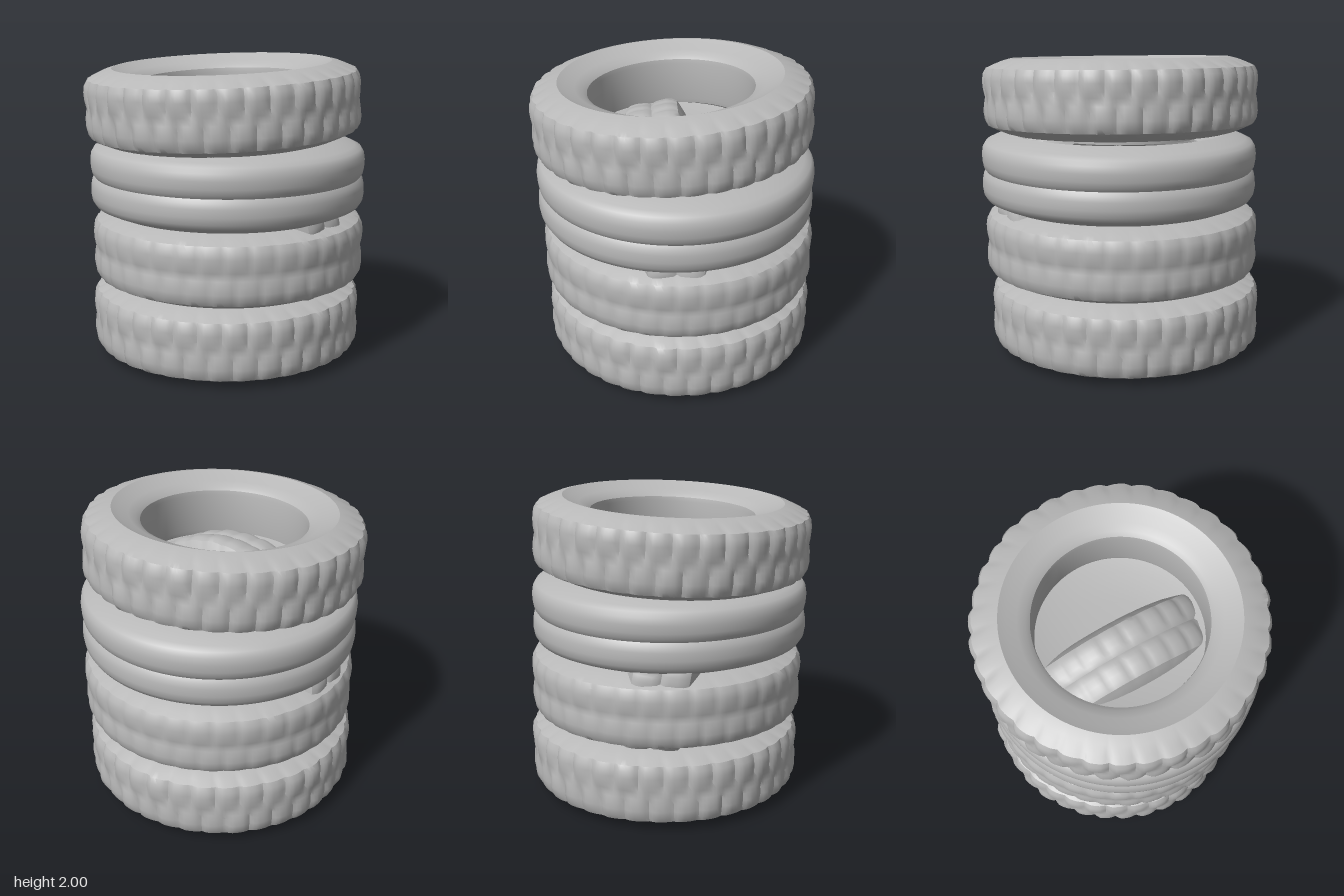
import * as THREE from 'three';
import { toCreasedNormals } from 'three/addons/utils/BufferGeometryUtils.js';

const BLOCKS = 36;                 // tread blocks around one row
const STEP = 7;                    // lathe segments per block
const SEGMENTS = BLOCKS * STEP;
// dip across one block: steep leading edge, soft trailing edge
const BLOCK_DIP = [0.85, 0.35, 0, 0, 0.08, 0.2, 0.5];

// upper half of the tyre section, from tread groove over the sidewall to the bore
const HALF = [
  [0.915, 0.025], [0.922, 0.06], [0.925, 0.11], [0.918, 0.155], [0.898, 0.188],
  [0.855, 0.208], [0.79, 0.234], [0.73, 0.25], [0.68, 0.226], [0.62, 0.204],
  [0.57, 0.182], [0.545, 0.16], [0.54, 0.13],
];

function tyreProfile(groove) {
  const lower = HALF.map(([r, y]) => new THREE.Vector2(r, -y)).reverse();
  const upper = HALF.map(([r, y]) => new THREE.Vector2(r, y));
  const points = [...lower, new THREE.Vector2(groove, 0), ...upper];
  points.push(points[0].clone()); // close along the bore
  return points;
}

function seeded(seed) {
  return () => {
    seed = (seed * 16807) % 2147483647;
    return seed / 2147483647;
  };
}

// revolve the section, then press two staggered rows of blocks into the tread
function tyreGeometry(groove, depth, seed) {
  const profile = tyreProfile(groove);
  const geo = new THREE.LatheGeometry(profile, SEGMENTS);
  const pos = geo.attributes.position;
  const random = seeded(seed);
  const uneven = Array.from({ length: BLOCKS * 2 }, () => random() * 0.3);
  for (let k = 0; k < pos.count; k++) {
    const { x: r, y } = profile[k % profile.length];
    if (r < 0.84 || y === 0) continue;
    const row = y > 0 ? 1 : 0;
    const i = Math.floor(k / profile.length) % SEGMENTS + row * 3;
    const block = Math.floor(i / STEP) % BLOCKS;
    const dip = BLOCK_DIP[i % STEP] + uneven[block * 2 + row];
    const fade = Math.abs(y) < 0.04 ? 0.4 : r < 0.9 ? 0.6 : 1;
    const scale = 1 - depth * dip * fade / r;
    pos.setX(k, pos.getX(k) * scale);
    pos.setZ(k, pos.getZ(k) * scale);
  }
  geo.deleteAttribute('uv');
  return toCreasedNormals(geo, 0.6);
}

export function createModel() {
  const group = new THREE.Group();
  const rubber = new THREE.MeshStandardMaterial({ color: 0xb8b8b8 });
  rubber.name = 'greyRubber';

  const tyres = [
    { name: 'bottomTyre', at: [-0.02, 0.25, -0.02], depth: 0.024, seed: 11 },
    { name: 'lowerMiddleTyre', at: [0.005, 0.745, -0.01], depth: 0.012, seed: 23 },
    { name: 'upperMiddleTyre', at: [0.015, 1.23, 0.01], depth: 0, seed: 37, groove: 0.898 },
    { name: 'topTyre', at: [-0.008, 1.717, 0.03], depth: 0.027, seed: 53, turn: [0.045, 0, 0.014] },
    // upright tyre wedged inside the stack, leaning forward
    { name: 'innerTyre', at: [-0.01, 0.865, 0.03], depth: 0.012, seed: 71, groove: 0.898, turn: [1.735, 0, 0], size: 0.93 },
  ];
  for (const { name, at, depth, seed, groove = 0.908, turn = [0, 0, 0], size = 1 } of tyres) {
    const tyre = new THREE.Mesh(tyreGeometry(groove, depth, seed), rubber);
    tyre.name = name;
    tyre.position.set(...at);
    tyre.rotation.set(...turn);
    tyre.scale.setScalar(size);
    group.add(tyre);
  }

  // shallow dished filling that closes the hollow of the stack
  const dish = [[0, -0.05], [0.58, -0.05], [0.58, 0.05], [0.45, 0.02], [0.25, 0.005], [0, 0]];
  const filling = new THREE.Mesh(
    toCreasedNormals(new THREE.LatheGeometry(dish.map(([r, y]) => new THREE.Vector2(r, y)), 64), 0.6),
    rubber,
  );
  filling.name = 'innerFilling';
  filling.position.set(0, 1.51, 0.02);
  group.add(filling);

  return group;
}
